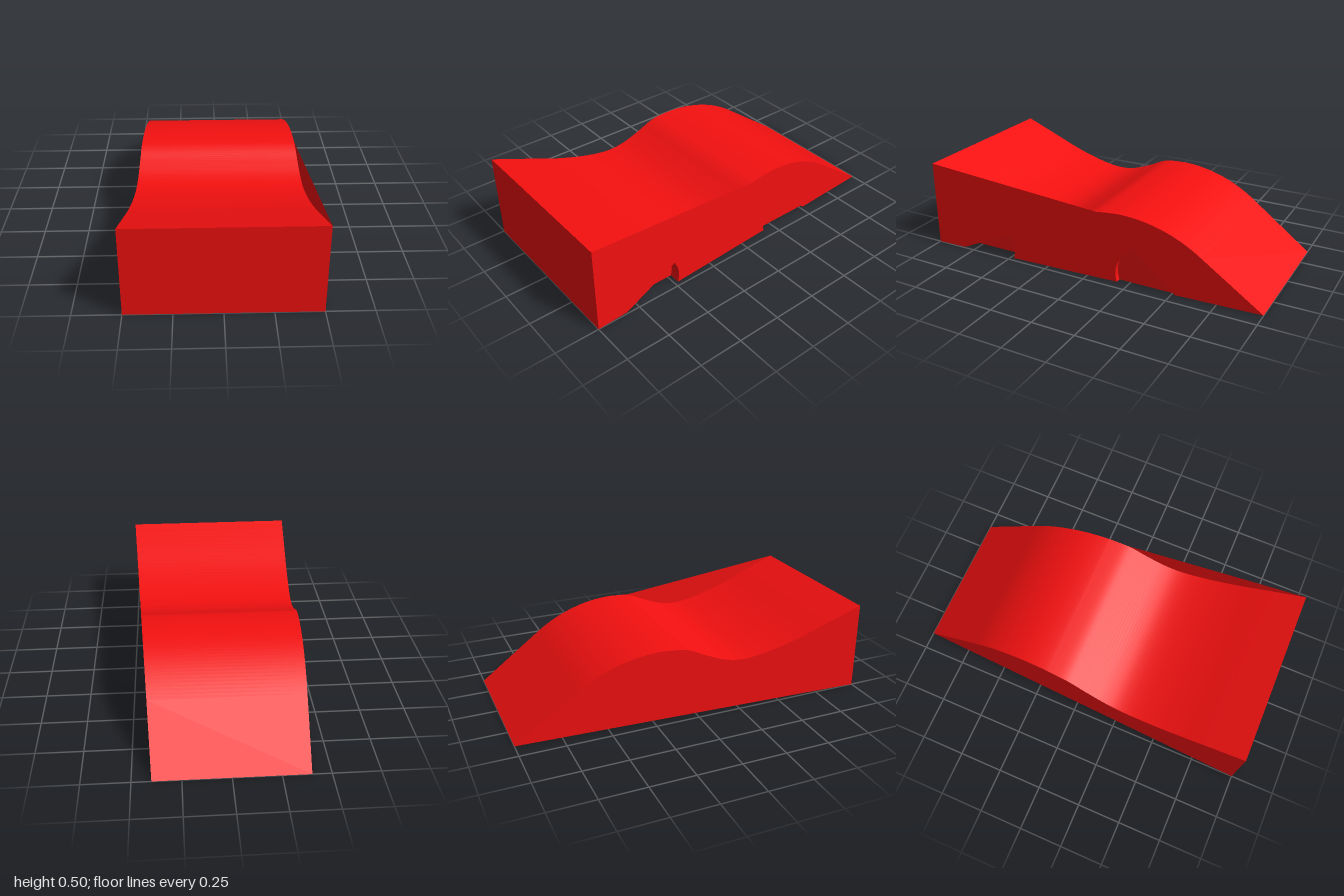
import * as THREE from 'three';

const V2 = (z, y) => new THREE.Vector2(z, y);
const halfWidth = z => 0.45 + 0.05 * z; // body tapers toward the back
const POCKET_X = 0.41;                  // inner plane of the wheel pockets

// Top profile as (z, y): sloped bonnet, dip, round hump, straight tail
const dip = new THREE.SplineCurve([
  V2(1, 0.5), V2(0.8, 0.426), V2(0.6, 0.352), V2(0.42, 0.303), V2(0.28, 0.285),
  V2(0.17, 0.3), V2(0.06, 0.342), V2(-0.02, 0.38), V2(-0.08, 0.397), V2(-0.18, 0.405),
]).getPoints(60);
const hump = [];
for (let i = 1; i <= 24; i++) {
  const a = 0.643 * i / 24;
  hump.push(V2(-0.18 - 0.8 * Math.sin(a), 0.405 - 0.8 * (1 - Math.cos(a))));
}
const tail = V2(-1, 0);
const topProfile = [...dip, ...hump, tail];

// Wheel arches: a straight slope and a curved side meeting at a peak
const makeArch = (start, peak, control, end) => ({
  slope: [start, peak],
  arc: new THREE.QuadraticBezierCurve(peak, control, end).getPoints(16),
  start, end,
});
const arches = [
  makeArch(V2(0.82, 0), V2(0.5, 0.145), V2(0.455, 0.07), V2(0.478, 0)),
  makeArch(V2(-0.52, 0), V2(-0.28, 0.215), V2(-0.14, 0.13), V2(-0.18, 0)),
];

export function createModel() {
  const group = new THREE.Group();
  const material = new THREE.MeshStandardMaterial({ color: 0xf41010, side: THREE.DoubleSide });

  const add = (name, geometry) => {
    geometry.computeVertexNormals();
    const mesh = new THREE.Mesh(geometry, material);
    mesh.name = name;
    group.add(mesh);
  };

  // Flat panel: a 2D outline mapped into space
  const panel = (name, outline, map) => {
    const geometry = new THREE.ShapeGeometry(new THREE.Shape(outline));
    const p = geometry.attributes.position;
    for (let i = 0; i < p.count; i++) p.setXYZ(i, ...map(p.getX(i), p.getY(i)));
    add(name, geometry);
  };

  // Strip running across x along a (z, y) profile
  const strip = (name, profile, xA, xB) => {
    const positions = [], index = [];
    profile.forEach((p, i) => {
      positions.push(xA(p.x), p.y, p.x, xB(p.x), p.y, p.x);
      if (i) {
        const k = 2 * i;
        index.push(k - 2, k - 1, k, k - 1, k + 1, k);
      }
    });
    const geometry = new THREE.BufferGeometry();
    geometry.setAttribute('position', new THREE.Float32BufferAttribute(positions, 3));
    geometry.setIndex(index);
    add(name, geometry);
  };

  // Top skin and front face
  const left = z => halfWidth(z), right = z => -halfWidth(z);
  strip('topSkin', [...dip, ...hump], right, left);
  strip('tailSlope', [hump[hump.length - 1], tail], right, left);
  strip('frontFace', [V2(1, 0), V2(1, 0.5)], right, left);

  // Left side: straight upper edge over the dip, with open wheel arches
  const [frontArch, rearArch] = arches;
  const leftOutline = [
    V2(1, 0.5), ...topProfile.filter(p => p.x < -0.06),
    rearArch.start, ...rearArch.arc,
    ...[...frontArch.arc].reverse(), frontArch.start, V2(1, 0),
  ];
  panel('leftSide', leftOutline.map(p => V2(-p.x, p.y)), (u, v) => [halfWidth(-u), v, -u]);

  // Right side: follows the dip and closes over the pockets
  panel('rightSide', [...topProfile, V2(1, 0)], (u, v) => [-halfWidth(u), v, u]);

  // Underside with the pocket openings cut into both edges
  const edge = [V2(halfWidth(-1), -1)];
  for (const [a, b] of [[-0.52, -0.18], [0.478, 0.82]]) {
    edge.push(V2(halfWidth(a), a), V2(POCKET_X, a), V2(POCKET_X, b), V2(halfWidth(b), b));
  }
  edge.push(V2(halfWidth(1), 1));
  const mirrored = edge.map(p => V2(-p.x, p.y)).reverse();
  panel('underside', [...edge, ...mirrored], (u, v) => [u, 0, v]);

  // Wheel pockets on both sides
  for (const s of [1, -1]) {
    const inner = () => s * POCKET_X, outer = z => s * halfWidth(z);
    for (const arch of arches) {
      panel('pocketWall', [arch.start, ...arch.arc].map(p => V2(-s * p.x, p.y)),
        (u, v) => [s * POCKET_X, v, -s * u]);
      strip('pocketSlope', arch.slope, inner, outer);
      strip('pocketArc', arch.arc, inner, outer);
    }
  }
  return group;
}
